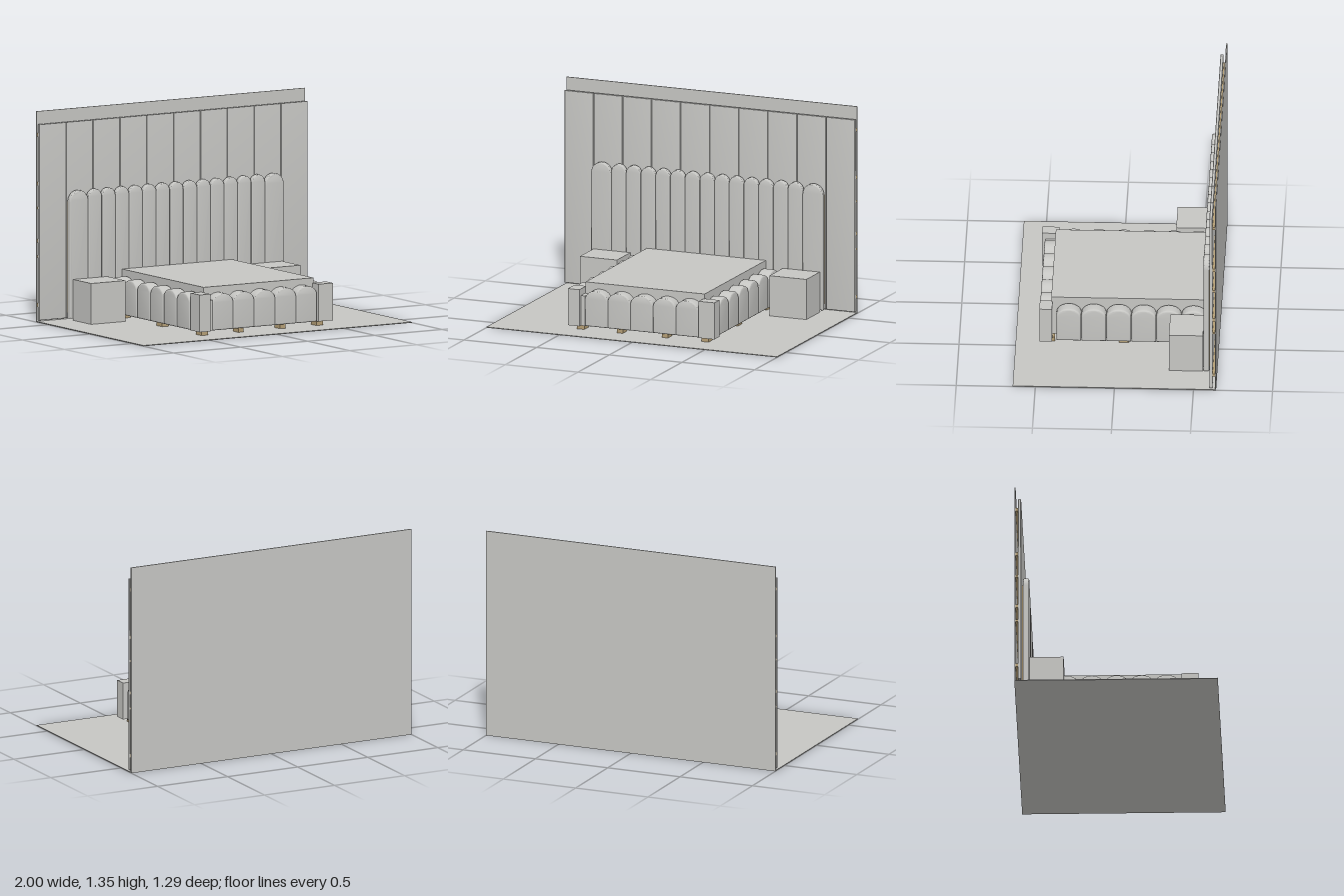
import * as THREE from 'three';
import { toCreasedNormals } from 'three/addons/utils/BufferGeometryUtils.js';

export function createModel() {
  const model = new THREE.Group();
  model.name = 'bedroomSet';
  const grey = new THREE.MeshStandardMaterial({ color: 0xc6c6c3 });
  grey.name = 'light grey';
  const wood = new THREE.MeshStandardMaterial({ color: 0xb59f76 });
  wood.name = 'pale wood';

  // Box given by its extents
  function box(name, x0, x1, y0, y1, z0, z1, mat = grey, parent = model) {
    const mesh = new THREE.Mesh(new THREE.BoxGeometry(x1 - x0, y1 - y0, z1 - z0), mat);
    mesh.position.set((x0 + x1) / 2, (y0 + y1) / 2, (z0 + z1) / 2);
    mesh.name = name;
    parent.add(mesh);
    return mesh;
  }

  // Padded panel with soft edges and an arched top, centred on x and z, standing on y = 0
  function pad(name, width, height, rise, depth, bevel, parent) {
    const r = width / 2, spring = height - rise;
    const shape = new THREE.Shape();
    shape.moveTo(-r, 0);
    shape.lineTo(r, 0);
    shape.lineTo(r, spring);
    if (rise > 0) shape.absellipse(0, spring, r, rise, 0, Math.PI, false, 0);
    else shape.lineTo(-r, spring);
    shape.closePath();
    const geo = new THREE.ExtrudeGeometry(shape, {
      depth: depth - 2 * bevel, bevelThickness: bevel, bevelSize: bevel,
      bevelOffset: -bevel, bevelSegments: 4, curveSegments: 20,
    });
    geo.translate(0, 0, bevel - depth / 2);
    const mesh = new THREE.Mesh(toCreasedNormals(geo, 0.7), grey);
    mesh.name = name;
    parent.add(mesh);
    return mesh;
  }

  function group(name) {
    const g = new THREE.Group();
    g.name = name;
    model.add(g);
    return g;
  }

  // Floor and back wall
  box('floor', -1, 1, 0, 0.005, -0.643, 0.643);
  box('backWall', -1, 1, 0, 1.345, -0.643, -0.635);

  // Tall wall panels on wooden battens
  const panels = group('wallPanels');
  for (let i = 0; i < 10; i++) {
    pad('wallPanel', 0.197, 1.25, 0, 0.02, 0.004, panels).position.set(-0.9 + i * 0.2, 0.015, -0.61);
  }
  for (const [y, h] of [[0.11, 0.021], [0.42, 0.012], [0.52, 0.021], [0.73, 0.012], [0.885, 0.021], [1.195, 0.021]]) {
    box('batten', -0.998, 0.998, y - h / 2, y + h / 2, -0.635, -0.619, wood, panels);
  }

  // Headboard: wide column, thirteen narrow ones, wide column
  const headboard = group('headboard');
  let x = -0.8;
  for (let i = 0; i < 15; i++) {
    const w = i === 0 || i === 14 ? 0.14 : 0.1012;
    pad('headboardColumn', w - 0.002, 0.815, w / 2, 0.038, 0.01, headboard)
      .position.set(x + w / 2, 0.015, -0.574);
    x += w;
  }
  box('headboardBacking', -0.794, 0.79, 0.05, 0.76, -0.6, -0.592, wood, headboard);

  // Bed body with mattress
  const bed = group('bed');
  box('mattress', -0.413, 0.406, 0.035, 0.305, -0.555, 0.42, grey, bed);

  // Scalloped side rails
  for (const cx of [-0.456, 0.45]) {
    for (let i = 0; i < 6; i++) {
      const m = pad('sideRailPad', 0.156, 0.232, 0.06, 0.084, 0.012, bed);
      m.rotation.y = Math.PI / 2;
      m.position.set(cx, 0.035, -0.483 + i * 0.158);
    }
  }

  // Scalloped foot rail
  for (let i = 0; i < 5; i++) {
    pad('footRailPad', 0.155, 0.232, 0.06, 0.08, 0.01, bed)
      .position.set(-0.312 + i * 0.156, 0.035, 0.45);
  }

  // Corner posts at the foot
  box('rightCornerPost', -0.498, -0.418, 0.035, 0.273, 0.4, 0.508, grey, bed);
  box('leftCornerPost', 0.396, 0.504, 0.035, 0.273, 0.412, 0.492, grey, bed);
  box('footRailFiller', -0.42, -0.388, 0.035, 0.23, 0.415, 0.485, grey, bed);

  // Short wooden feet
  for (const fx of [-0.43, -0.16, 0.15, 0.425]) {
    for (const fz of [0.428, -0.042, -0.5]) {
      const half = Math.abs(fx) > 0.3 ? 0.025 : 0.02;
      box('foot', fx - half, fx + half, 0.005, 0.036, fz - 0.032, fz + 0.032, wood, bed);
    }
  }

  // Nightstands on both sides
  for (const s of [-1, 1]) {
    box('nightstand', s * 0.652 - 0.127, s * 0.652 + 0.127, 0.005, 0.266, -0.552, -0.337);
  }
  return model;
}
